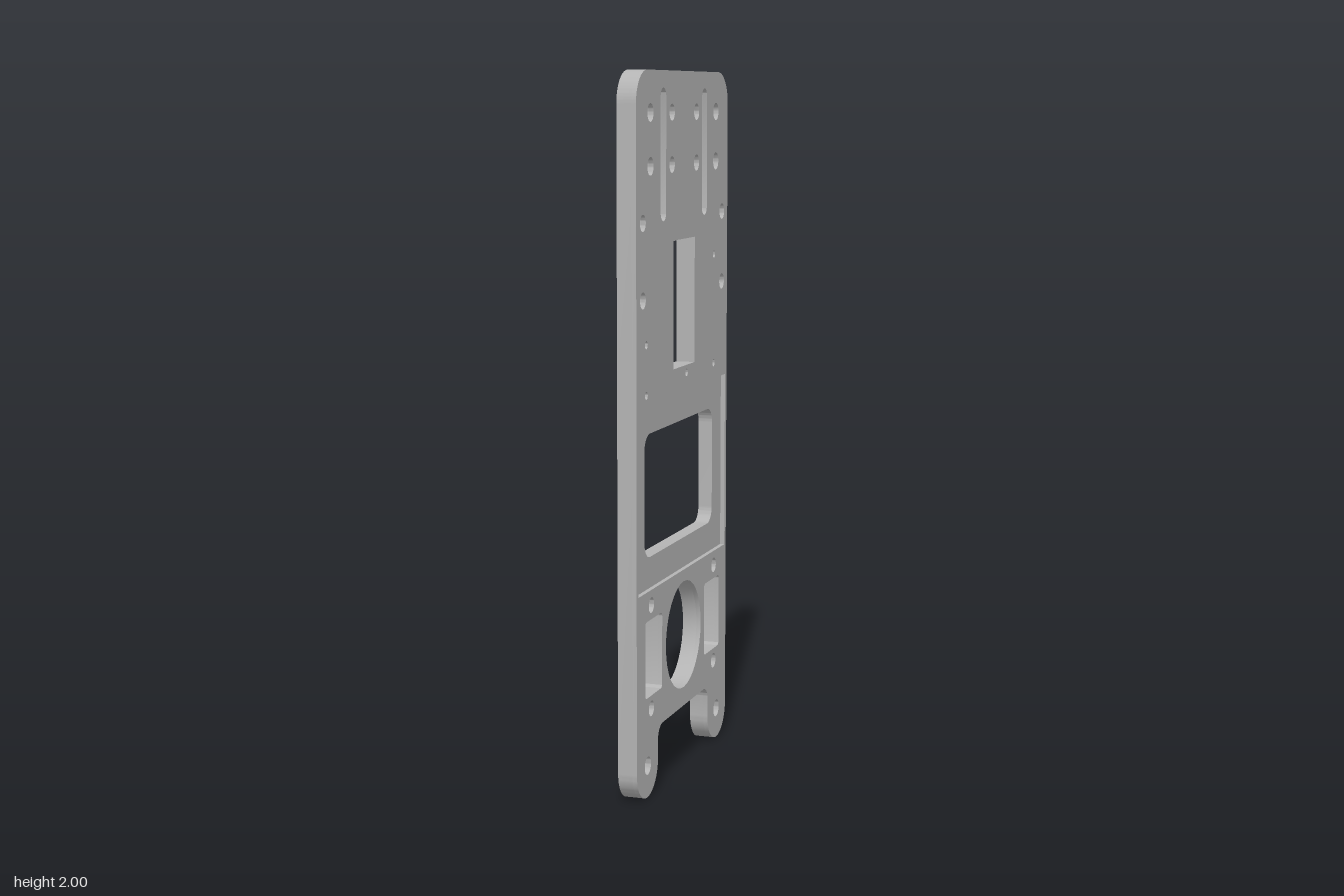
import * as THREE from 'three';
import { toCreasedNormals } from 'three/addons/utils/BufferGeometryUtils.js';

const BACK = 0.025, FRONT = 0.08, POCKET_DEPTH = 0.013;

// Closed circular path
function circle(u, y, r) {
  const p = new THREE.Path();
  p.absarc(u, y, r, 0, Math.PI * 2, true);
  return p;
}

// Rectangular path with rounded corners
function roundedRect(u0, y0, u1, y1, r = 0) {
  const p = new THREE.Path();
  if (r === 0) {
    p.moveTo(u0, y0).lineTo(u0, y1).lineTo(u1, y1).lineTo(u1, y0).closePath();
    return p;
  }
  const q = Math.PI / 2;
  p.absarc(u0 + r, y0 + r, r, 2 * q, 3 * q, false);
  p.absarc(u1 - r, y0 + r, r, 3 * q, 4 * q, false);
  p.absarc(u1 - r, y1 - r, r, 0, q, false);
  p.absarc(u0 + r, y1 - r, r, q, 2 * q, false);
  p.closePath();
  return p;
}

// Plate outline: rounded top corners and two round-ended feet
function outline() {
  const s = new THREE.Shape();
  const q = Math.PI / 2, foot = 0.0875, top = 0.09, fillet = 0.04;
  const footU = 0.4 - foot, inner = 0.4 - 2 * foot, notch = 0.18;
  s.absarc(footU, foot, foot, -2 * q, 0, false);
  s.absarc(0.4 - top, 2 - top, top, 0, q, false);
  s.absarc(-0.4 + top, 2 - top, top, q, 2 * q, false);
  s.absarc(-footU, foot, foot, 2 * q, 4 * q, false);
  s.absarc(-inner + fillet, notch - fillet, fillet, 2 * q, q, true);
  s.absarc(inner - fillet, notch - fillet, fillet, q, 0, true);
  s.closePath();
  return s;
}

// Openings cut right through the plate, apart from the large window
function throughHoles() {
  const holes = [
    circle(0, 0.392, 0.157),
    roundedRect(-0.093, 1.174, 0.093, 1.534),
  ];
  for (const side of [-1, 1]) {
    // Adjustment slots and square side openings
    holes.push(roundedRect(side * 0.18 - 0.023, 1.592, side * 0.18 + 0.023, 1.953, 0.0229));
    holes.push(roundedRect(side * 0.26 - 0.071, 0.283, side * 0.26 + 0.071, 0.5, 0.012));
    // Mirrored bolt holes
    const bolts = [
      [0.286, 1.887, 0.025], [0.107, 1.887, 0.023],
      [0.286, 1.744, 0.025], [0.107, 1.744, 0.023],
      [0.347, 1.595, 0.023], [0.347, 1.388, 0.023],
      [0.28, 0.54, 0.022], [0.28, 0.246, 0.022],
      [0.31, 0.09, 0.026],
    ];
    for (const [u, y, r] of bolts) holes.push(circle(side * u, y, r));
  }
  // Small pilot holes
  const pilots = [[-0.32, 1.266], [-0.32, 1.128], [0.022, 1.152], [0.272, 1.152], [0.272, 1.473]];
  for (const [u, y] of pilots) holes.push(circle(u, y, 0.011));
  return holes;
}

// Extrudes the plate between two x positions with one extra central opening
function plateLayer(name, x0, x1, opening, material) {
  const shape = outline();
  shape.holes.push(...throughHoles(), opening);
  const geometry = new THREE.ExtrudeGeometry(shape, { depth: x1 - x0, bevelEnabled: false, curveSegments: 16 });
  geometry.rotateY(Math.PI / 2);
  geometry.translate(x0, 0, 0);
  const mesh = new THREE.Mesh(toCreasedNormals(geometry, 0.6), material);
  mesh.name = name;
  return mesh;
}

export function createModel() {
  const grey = new THREE.MeshStandardMaterial({ color: 0xb3b3b3 });
  grey.name = 'plain grey';
  const group = new THREE.Group();
  group.name = 'mountingPlate';

  // Main plate with the large window; the outer layer leaves a shallow pocket around it
  const floor = FRONT - POCKET_DEPTH;
  group.add(plateLayer('basePlate', BACK, floor, roundedRect(-0.3, 0.67, 0.3, 1.015, 0.045), grey));
  group.add(plateLayer('pocketRim', floor, FRONT, roundedRect(-0.385, 0.583, 0.385, 1.105), grey));

  // Shelf tab over the small window
  const shelf = new THREE.Mesh(new THREE.BoxGeometry(BACK + 0.08, 0.03, 0.214), grey);
  shelf.name = 'shelfTab';
  shelf.position.set((BACK - 0.08) / 2, 1.537, 0);
  group.add(shelf);

  return group;
}
